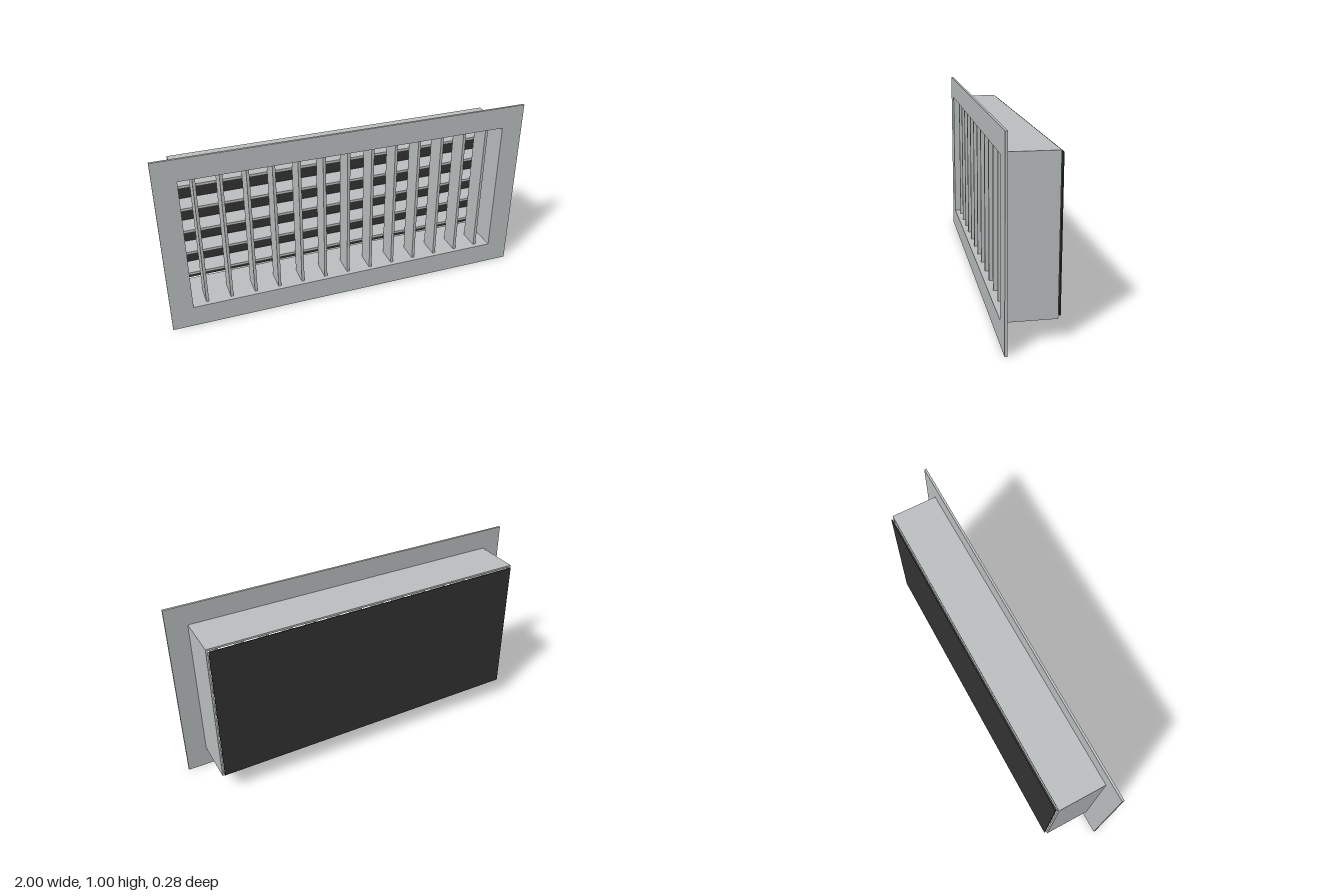
import * as THREE from 'three';

const flat = (name, color) => {
  const m = new THREE.MeshStandardMaterial({ color });
  m.name = name;
  return m;
};

// Rectangular ring centred at y = 0.5, running from z0 to z1
function ring(outerW, outerH, innerW, innerH, z0, z1) {
  const corners = (w, h) => [[-w, -h], [w, -h], [w, h], [-w, h]]
    .map(([x, y]) => new THREE.Vector2(x / 2, y / 2 + 0.5));
  const shape = new THREE.Shape(corners(outerW, outerH));
  shape.holes.push(new THREE.Path(corners(innerW, innerH).reverse()));
  const g = new THREE.ExtrudeGeometry(shape, { depth: z1 - z0, bevelEnabled: false });
  return g.translate(0, 0, z0);
}

export function createModel() {
  const model = new THREE.Group();
  model.name = 'ventGrille';
  const metal = flat('paleGreyMetal', 0xbcc0c0);
  const dark = flat('darkBacking', 0x333333);

  const add = (name, geometry, material, x = 0, y = 0, z = 0, parent = model) => {
    const mesh = new THREE.Mesh(geometry, material);
    mesh.name = name;
    mesh.position.set(x, y, z);
    parent.add(mesh);
  };

  const openW = 1.76, openH = 0.76, pitch = 0.1333, thick = 0.015;

  // Flange and the duct sleeve behind it
  add('frontFlange', ring(2, 1, openW, openH, 0.128, 0.14), metal);
  add('ductSleeve', ring(1.78, 0.78, openW, openH, -0.126, 0.128), metal);

  // Upright blades in front
  const uprights = new THREE.Group();
  uprights.name = 'uprightBlades';
  model.add(uprights);
  const uprightGeo = new THREE.BoxGeometry(thick, openH, 0.115);
  for (let i = -6; i <= 6; i++) {
    add('uprightBlade', uprightGeo, metal, i * pitch, 0.5, 0.057, uprights);
  }

  // Level blades behind them
  const levels = new THREE.Group();
  levels.name = 'levelBlades';
  model.add(levels);
  const levelGeo = new THREE.BoxGeometry(openW, thick, 0.11);
  for (let i = -2; i <= 2; i++) {
    add('levelBlade', levelGeo, metal, 0, 0.5 + i * pitch, -0.06, levels);
  }

  // Backing plate, set just clear of the sleeve
  add('backingPlate', new THREE.BoxGeometry(openW, openH, 0.006), dark, 0, 0.5, -0.137);

  return model;
}
